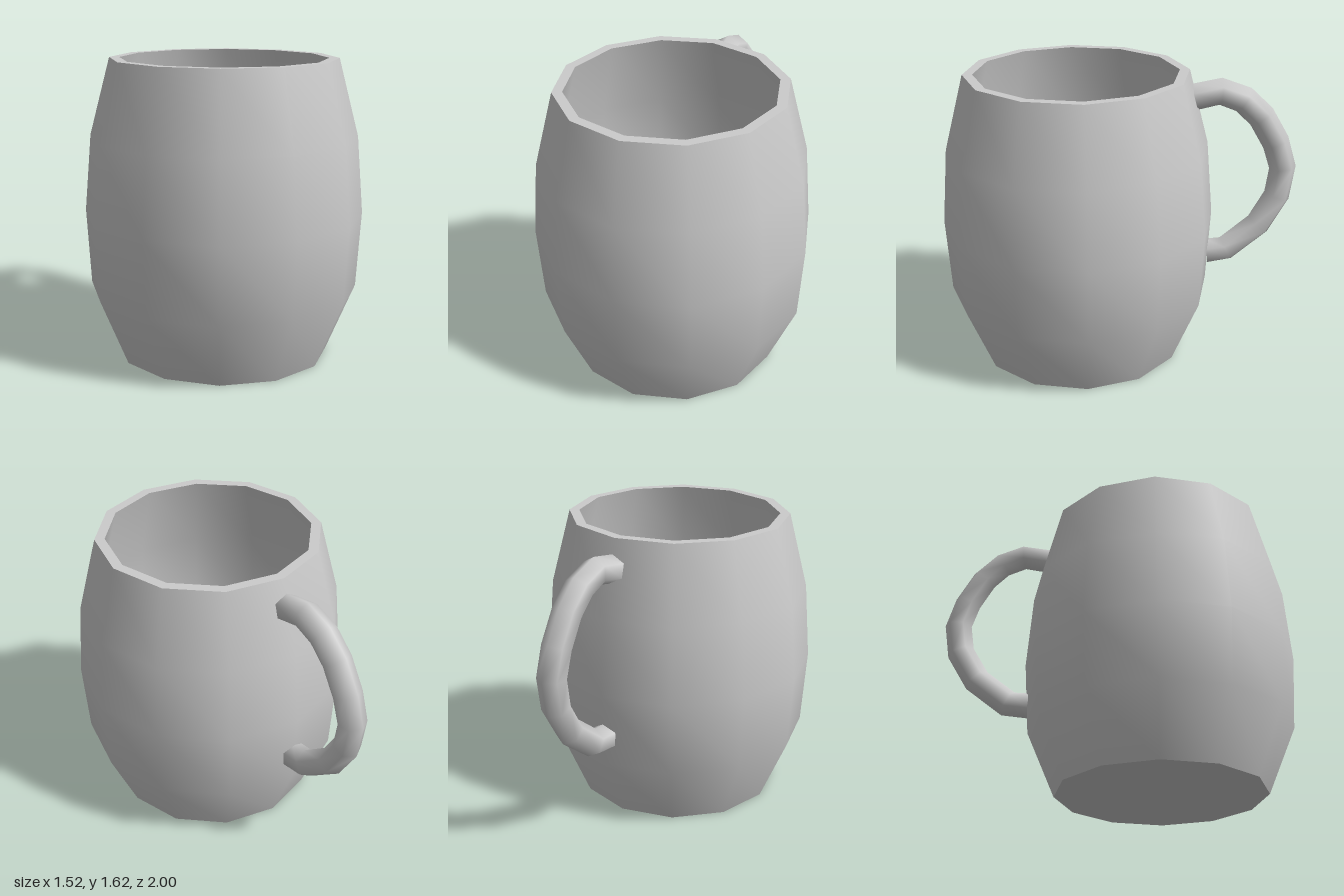
import * as THREE from 'three';

const SIDES = 12;
const BODY_Z = 0.24;

export function createModel() {
  const mug = new THREE.Group();
  mug.name = 'mug';
  const material = new THREE.MeshStandardMaterial({ color: 0xcccccc });

  function add(name, geometry, z = 0) {
    const mesh = new THREE.Mesh(geometry, material);
    mesh.name = name;
    mesh.position.z = z;
    mug.add(mesh);
  }

  // Each band is its own lathe, so the edges between bands stay sharp
  const bands = {
    base: [[0, 0], [0.58, 0]],
    outerWall: [[0.58, 0], [0.735, 0.37], [0.76, 0.785], [0.725, 1.205], [0.615, 1.625]],
    rim: [[0.615, 1.625], [0.56, 1.625]],
    innerWall: [[0.56, 1.625], [0.67, 1.2], [0.705, 0.785], [0.68, 0.38], [0.56, 0.08]],
    floor: [[0.56, 0.08], [0, 0.08]],
  };
  for (const [name, profile] of Object.entries(bands)) {
    const points = profile.map(([r, y]) => new THREE.Vector2(r, y));
    add(name, new THREE.LatheGeometry(points, SIDES), BODY_Z);
  }

  add('handle', handleGeometry());
  return mug;
}

// Hexagonal rings swept along a centre line in the y-z plane; both ends sit in the wall
function handleGeometry() {
  const radius = 0.077, sides = 6;
  const path = [
    [1.465, -0.395], [1.495, -0.55], [1.445, -0.68], [1.345, -0.785], [1.19, -0.875],
    [1.04, -0.922], [0.87, -0.897], [0.695, -0.795], [0.548, -0.61], [0.535, -0.49],
  ].map(([y, z]) => new THREE.Vector3(0, y, z));

  const positions = [], indices = [];
  path.forEach((centre, i) => {
    const before = path[Math.max(i - 1, 0)];
    const after = path[Math.min(i + 1, path.length - 1)];
    const tangent = after.clone().sub(before).normalize();
    const outward = new THREE.Vector3(0, -tangent.z, tangent.y);
    for (let j = 0; j < sides; j++) {
      const angle = (j / sides) * Math.PI * 2;
      const p = centre.clone().addScaledVector(outward, radius * Math.cos(angle));
      positions.push(p.x + radius * Math.sin(angle), p.y, p.z);
      if (i === 0) continue;
      const next = (j + 1) % sides;
      const a = (i - 1) * sides + j, b = (i - 1) * sides + next;
      const c = i * sides + next, d = i * sides + j;
      indices.push(a, b, c, a, c, d);
    }
  });

  const geometry = new THREE.BufferGeometry();
  geometry.setAttribute('position', new THREE.Float32BufferAttribute(positions, 3));
  geometry.setIndex(indices);
  geometry.computeVertexNormals();
  return geometry;
}
